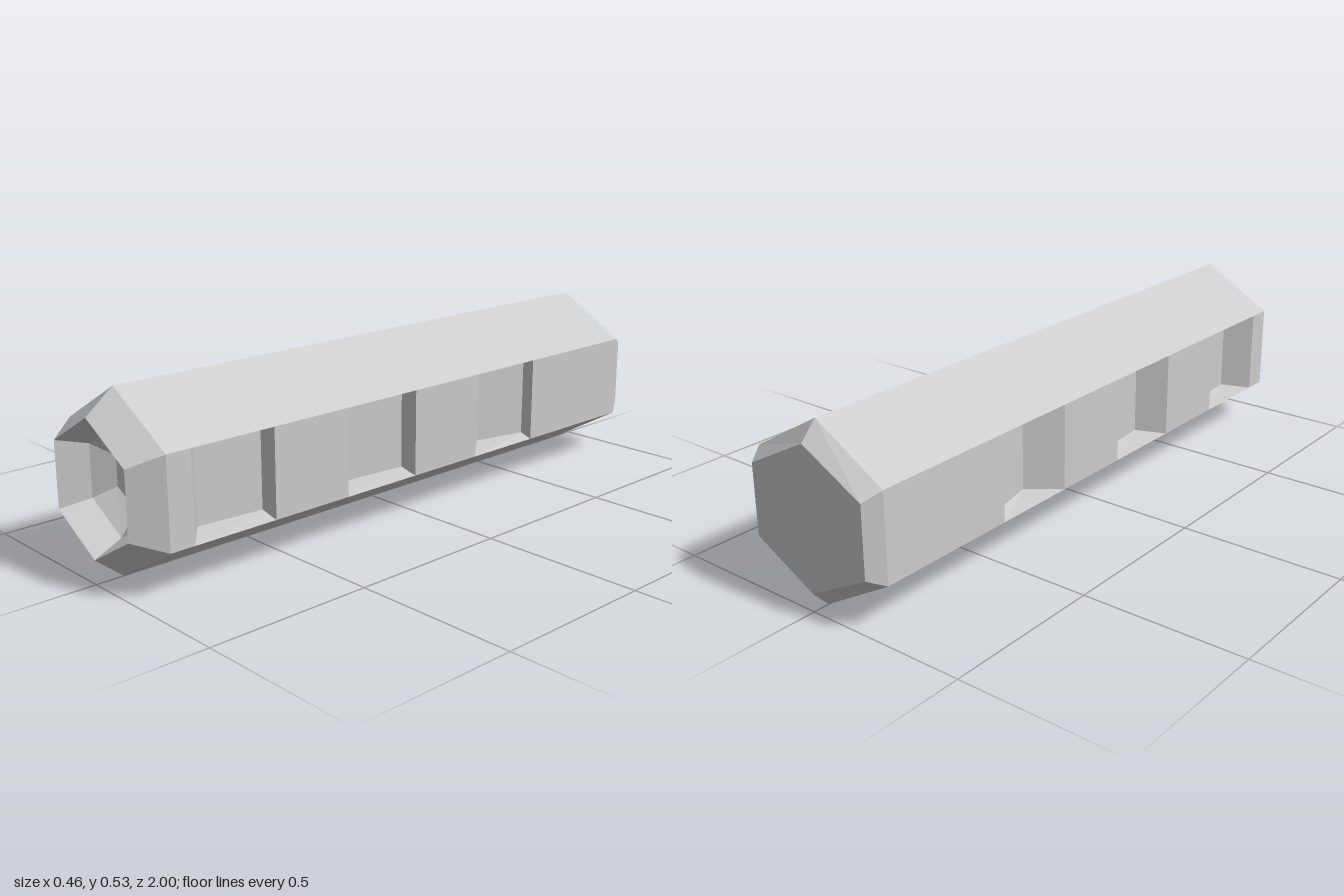
import * as THREE from 'three';

const CY = 0.264; // height of the bar's axis

// Six corners of a pointy-top hexagon, counter-clockwise seen from +z
const hex = (halfWidth, apex, z) => [
  [halfWidth, -apex / 2], [halfWidth, apex / 2], [0, apex],
  [-halfWidth, apex / 2], [-halfWidth, -apex / 2], [0, -apex],
].map(([x, y]) => [x, CY + y, z]);

// Flat-shaded mesh from convex polygons, corners counter-clockwise from outside
function polyMesh(name, polygons) {
  const pos = [];
  for (const p of polygons) {
    for (let i = 1; i < p.length - 1; i++) pos.push(...p[0], ...p[i], ...p[i + 1]);
  }
  const geometry = new THREE.BufferGeometry();
  geometry.setAttribute('position', new THREE.Float32BufferAttribute(pos, 3));
  geometry.computeVertexNormals();
  const mesh = new THREE.Mesh(geometry,
    new THREE.MeshStandardMaterial({ color: 0xcccccc, flatShading: true }));
  mesh.name = name;
  return mesh;
}

// Facets joining two rings, a lying in front of b on the outside
const band = (a, b, sides = [0, 1, 2, 3, 4, 5]) => sides.map((i) => {
  const j = (i + 1) % 6;
  return [a[i], b[i], b[j], a[j]];
});

// Notches: opening front/back z, floor front z, depth at floor front/back
const notches = [
  { z0: 0.84, z1: 0.57, zf: 0.775, d0: 0.077, d1: 0.06 },
  { z0: 0.305, z1: 0.035, zf: 0.24, d0: 0.077, d1: 0.06 },
  { z0: -0.23, z1: -0.5, zf: -0.325, d0: 0.078, d1: 0.04 },
];

export function createModel() {
  const group = new THREE.Group();
  group.name = 'hexBar';
  const W = 0.228, R = 0.264, ZF = 0.915, ZB = -0.95;

  const rim = hex(0.169, 0.195, 1);
  const front = hex(W, R, ZF);
  const back = hex(W, R, ZB);
  const end = hex(0.2, 0.211, -1);
  const socketMid = hex(0.136, 0.155, 0.915);
  const socketFloor = hex(0.086, 0.089, 0.865);

  // Bevelled ends and the four sloping long facets
  group.add(polyMesh('frontBevel', band(rim, front)));
  group.add(polyMesh('longFacets', band(front, back, [1, 2, 4, 5])));
  group.add(polyMesh('backBevel', band(back, end)));
  group.add(polyMesh('backFace', [[...end].reverse()]));

  // Tapering socket in the front end
  group.add(polyMesh('socket', [
    ...band(socketMid, rim), ...band(socketFloor, socketMid), socketFloor,
  ]));

  // Side facets with their notches, mirrored
  const lo = CY - R / 2, hi = CY + R / 2, inset = 0.014;
  const flat = (za, zb) => [[W, lo, za], [W, lo, zb], [W, hi, zb], [W, hi, za]];
  const panels = [], recesses = [];
  let z = ZF;
  for (const { z0, z1, zf, d0, d1 } of notches) {
    panels.push(flat(z, z0));
    z = z1;
    const o = flat(z0, z1);
    const f = [
      [W - d0, lo + inset, zf], [W - d1, lo + inset, z1],
      [W - d1, hi - inset, z1], [W - d0, hi - inset, zf],
    ];
    recesses.push(f);
    for (let i = 0; i < 4; i++) {
      const j = (i + 1) % 4;
      recesses.push([o[i], o[j], f[j], f[i]]);
    }
  }
  panels.push(flat(z, ZB));

  const mirror = (polys) => polys.map((p) => p.map(([x, y, c]) => [-x, y, c]).reverse());
  group.add(polyMesh('leftSidePanels', panels), polyMesh('leftNotches', recesses));
  group.add(polyMesh('rightSidePanels', mirror(panels)), polyMesh('rightNotches', mirror(recesses)));
  return group;
}
